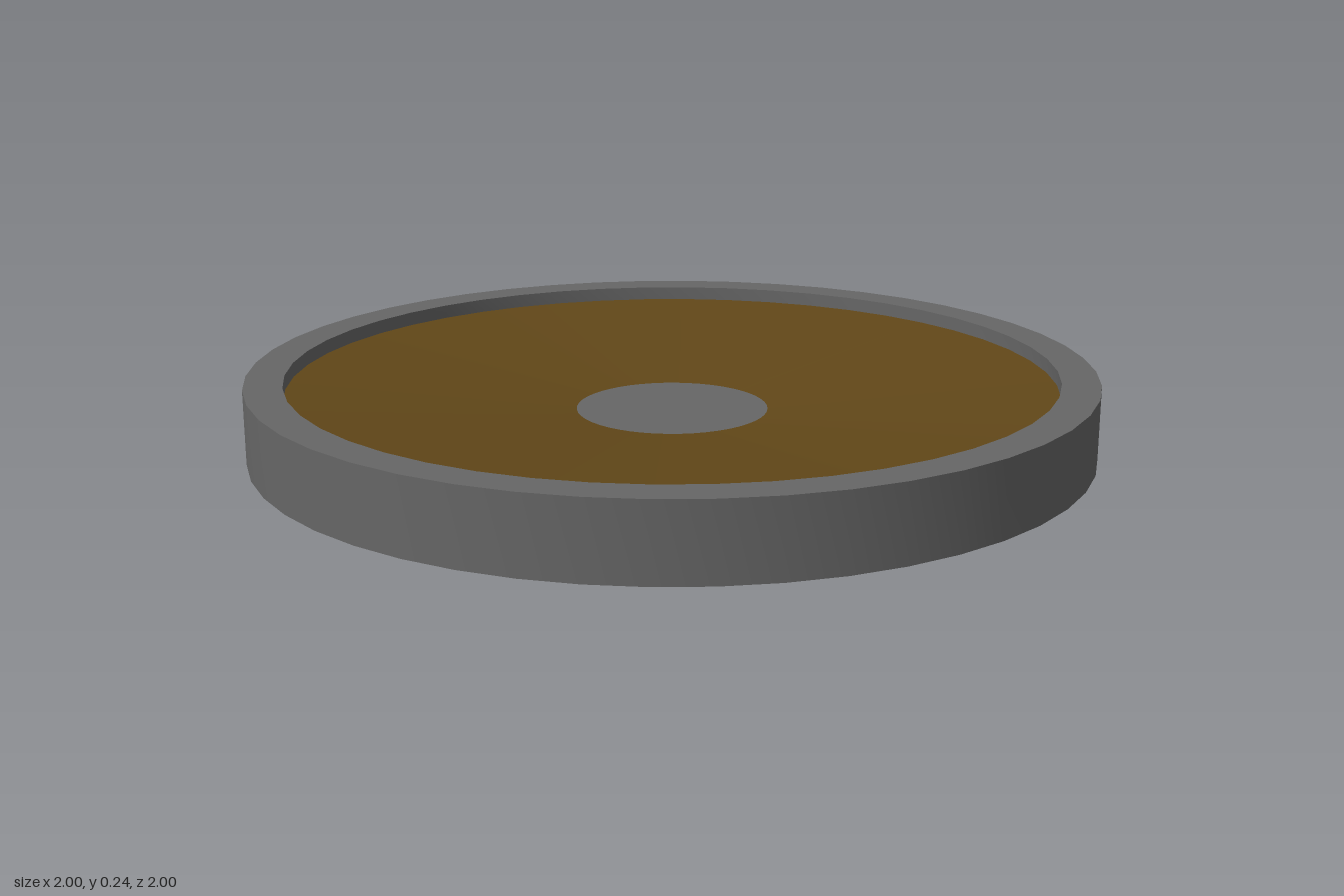
import * as THREE from 'three';
import { toCreasedNormals } from 'three/addons/utils/BufferGeometryUtils.js';

const SEGMENTS = 48;

export function createModel() {
  const group = new THREE.Group();
  const darkGrey = new THREE.MeshStandardMaterial({ color: 0x666666 });
  const brown = new THREE.MeshStandardMaterial({ color: 0x614718 });

  // Turns a [radius, height] profile, listed from the underside outwards and up
  function turned(name, profile, material) {
    const points = profile.map(([r, y]) => new THREE.Vector2(r, y));
    const geometry = toCreasedNormals(new THREE.LatheGeometry(points, SEGMENTS), 0.5);
    const mesh = new THREE.Mesh(geometry, material);
    mesh.name = name;
    group.add(mesh);
  }

  // Shallow conical underside with a flat foot
  turned('underside', [[0, 0], [0.24, 0], [0.91, 0.068]], darkGrey);

  // Raised rim: flat bottom, outer wall, flat top, inner wall
  turned('rim', [[0.91, 0.068], [1, 0.068], [1, 0.244], [0.91, 0.244], [0.91, 0.21]], darkGrey);

  // Coloured dish sloping down towards the middle
  turned('dish', [[0.91, 0.21], [0.228, 0.145]], brown);

  // Flat disc in the middle of the dish
  turned('centreDisc', [[0.228, 0.145], [0, 0.145]], darkGrey);

  return group;
}
